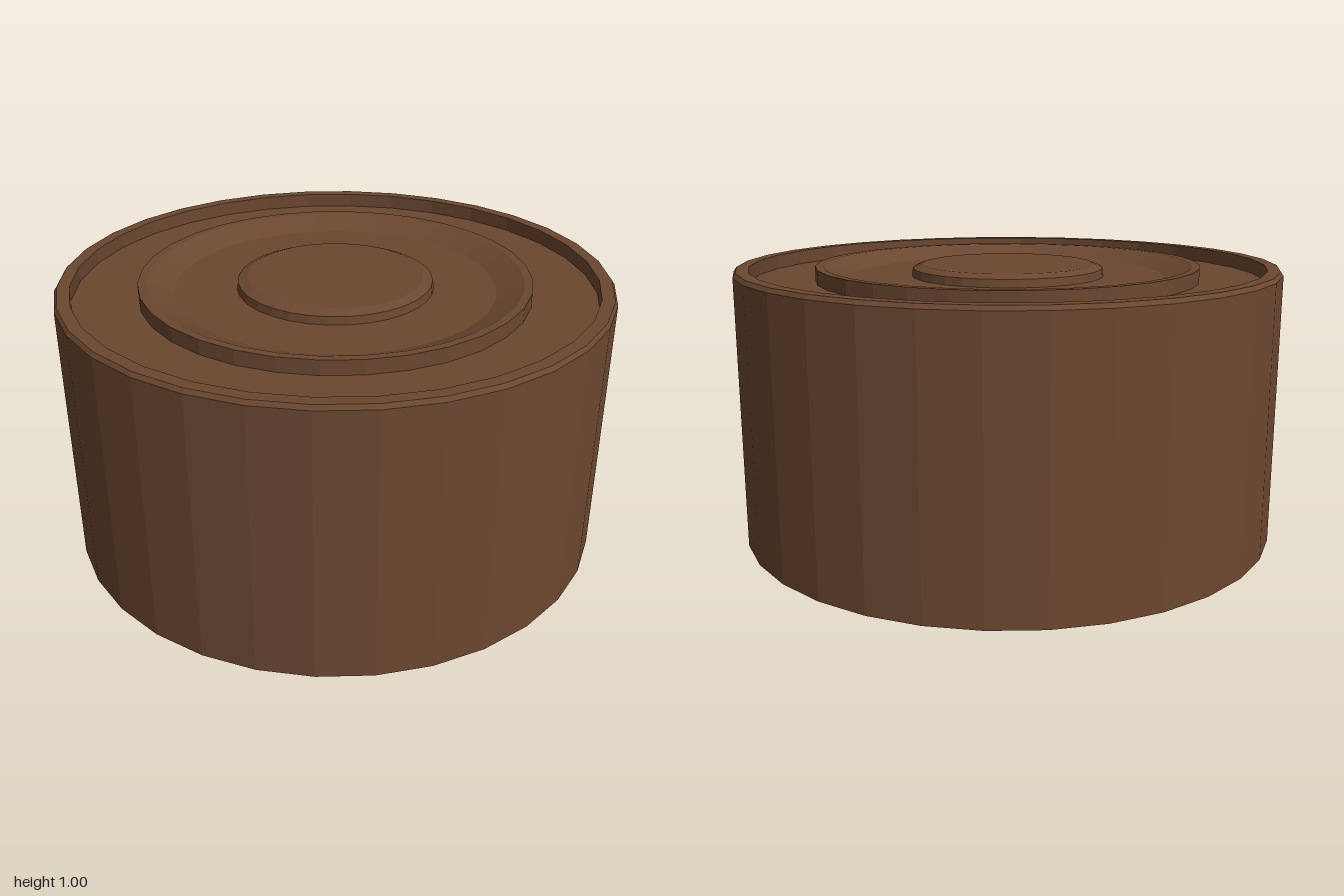
import * as THREE from 'three';

const SIDES = 32;

export function createModel() {
  const model = new THREE.Group();
  const brown = new THREE.MeshStandardMaterial({ color: 0x6b4730, flatShading: true });
  brown.name = 'brown';

  // Revolves a profile of [radius, height] pairs, listed from bottom to top.
  const turned = (name, profile) => {
    const points = profile.map(([r, y]) => new THREE.Vector2(r, y));
    const mesh = new THREE.Mesh(new THREE.LatheGeometry(points, SIDES), brown);
    mesh.name = name;
    model.add(mesh);
  };

  // Drum with bevelled rim and recessed top, up to the foot of the ring
  turned('body', [
    [0, 0], [1, 0], [1, 0.985], [0.99, 1], [0.945, 1], [0.945, 0.947], [0.709, 0.947],
  ]);

  // Raised ring, sloping inwards to the dish
  turned('raisedRing', [
    [0.709, 0.947], [0.709, 1], [0.68, 1], [0.583, 0.957],
  ]);

  // Flat floor of the dish
  turned('dishFloor', [[0.583, 0.957], [0.357, 0.957]]);

  // Centre button with bevelled edge
  turned('centreButton', [
    [0.357, 0.957], [0.353, 0.986], [0.318, 1], [0, 1],
  ]);

  return model;
}
